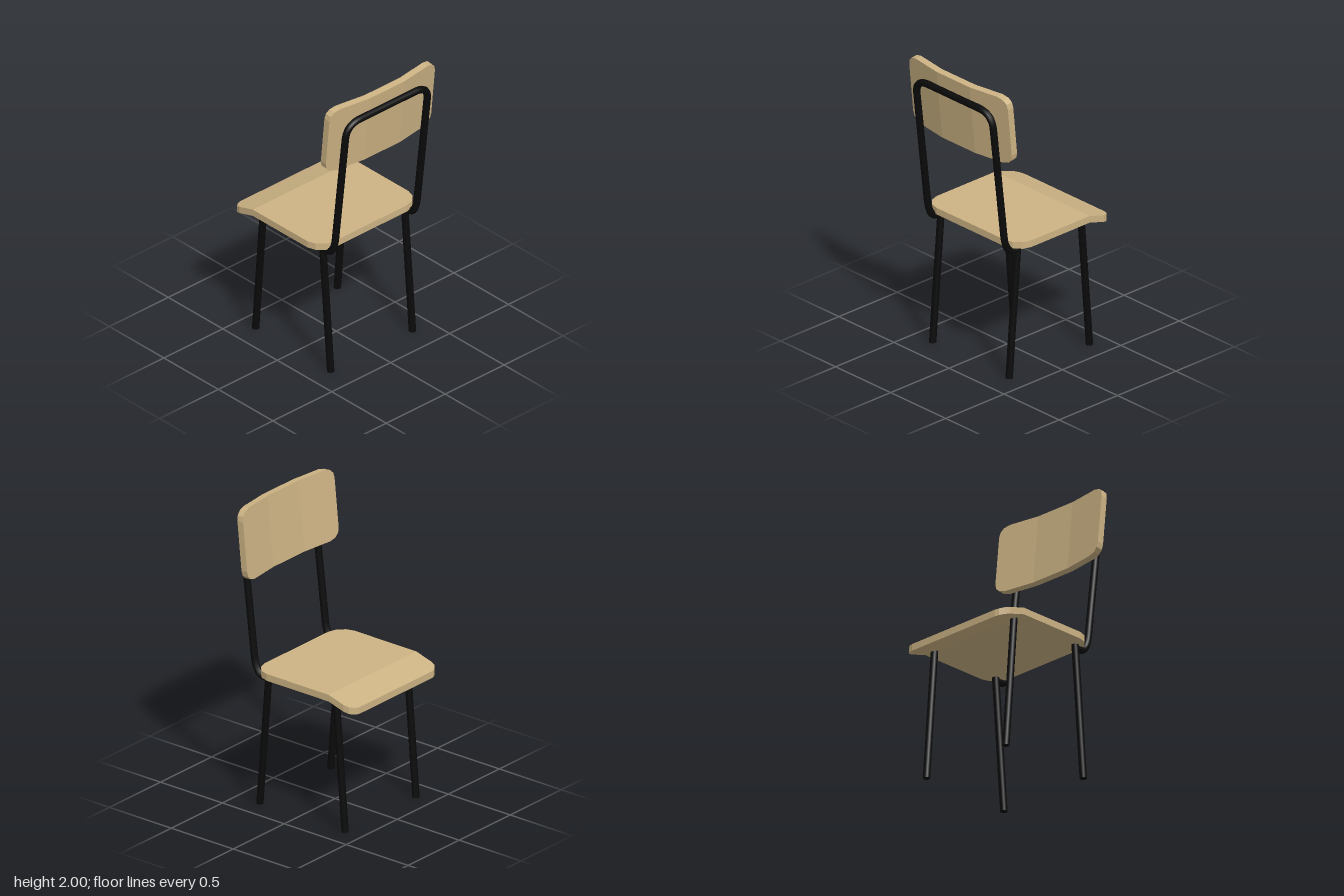
import * as THREE from 'three';

const wood = new THREE.MeshStandardMaterial({ color: 0xcdb384, flatShading: true });
const steel = new THREE.MeshStandardMaterial({ color: 0x0a0a0a });
const R = 0.0235; // tube radius

// Bent board: each station is [along, half width, bend offset]; place maps (along, across, depth) to x, y, z
function board(stations, thickness, place) {
  const rings = stations.map(([a, w, d]) => [
    place(a, -w, d), place(a, w, d), place(a, w, d - thickness), place(a, -w, d - thickness),
  ]);
  const pos = [];
  const quad = (a, b, c, d) => pos.push(...a, ...b, ...c, ...a, ...c, ...d);
  for (let i = 0; i < rings.length - 1; i++) {
    const p = rings[i], q = rings[i + 1];
    for (let k = 0; k < 4; k++) {
      const n = (k + 1) % 4;
      quad(p[k], p[n], q[n], q[k]);
    }
  }
  quad(...[...rings[0]].reverse());
  quad(...rings[rings.length - 1]);
  const geo = new THREE.BufferGeometry();
  geo.setAttribute('position', new THREE.Float32BufferAttribute(pos, 3));
  geo.computeVertexNormals();
  return geo;
}

function add(parent, name, geo, mat) {
  const mesh = new THREE.Mesh(geo, mat);
  mesh.name = name;
  parent.add(mesh);
  return mesh;
}

export function createModel() {
  const group = new THREE.Group();
  group.name = 'chair';

  // Seat with rounded corners and a drooping front edge
  const seat = [
    [-0.49, 0.36, -0.055], [-0.48, 0.39, -0.052], [-0.455, 0.42, -0.045], [-0.42, 0.43, -0.035],
    [-0.3, 0.43, 0], [0.2, 0.43, 0], [0.255, 0.413, 0], [0.3, 0.365, 0], [0.315, 0.31, 0],
  ];
  add(group, 'seat', board(seat, 0.046, (a, b, d) => [a, 0.941 + d, b]), wood);

  // Backrest, curving forward at both ends and leaning back
  const half = [[0.15, 0.237], [0.37, 0.237], [0.415, 0.225], [0.44, 0.2], [0.448, 0.165]]
    .map(([z, h]) => [z, h, -0.04 * (z - 0.15) / 0.3]);
  const back = [...half.map(([z, h, d]) => [-z, h, d]).reverse(), ...half];
  const backrest = add(group, 'backrest', board(back, 0.046, (a, b, d) => [d + 0.023, b, a]), wood);
  backrest.position.set(0.42, 1.761, -0.002);
  backrest.rotation.z = -0.1;

  const frame = new THREE.Group();
  frame.name = 'frame';
  frame.position.z = -0.006;
  group.add(frame);

  // Splayed legs, cut level with the floor
  const Z = 0.347;
  for (const [name, top, foot] of [['frontLeg', -0.298, -0.37], ['rearLeg', 0.245, 0.318]]) {
    for (const s of [1, -1]) {
      const geo = new THREE.CylinderGeometry(R, R, 0.9, 10);
      geo.translate(0, 0.45, 0);
      geo.applyMatrix4(new THREE.Matrix4().makeShear(0, 0, (top - foot) / 0.9, 0, 0, 0));
      geo.translate(foot, 0, s * Z);
      add(frame, name, geo, steel);
    }
  }

  // Back tube: one continuous bent hoop from under the seat
  const v = (x, y, z) => new THREE.Vector3(x, y, z);
  const path = new THREE.CurvePath();
  const line = (a, b) => path.add(new THREE.LineCurve3(a, b));
  const bend = (a, b, c) => path.add(new THREE.QuadraticBezierCurve3(a, b, c));
  const foot = (z) => [v(0.25, 0.873, z), v(0.285, 0.873, z), v(0.348, 0.876, z), v(0.363, 1.0, z), v(0.453, 1.77, z)];
  const [a0, a1, a2, a3, a4] = foot(Z);
  const [b0, b1, b2, b3, b4] = foot(-Z);
  const corner = (z) => v(0.466, 1.88, z);
  line(a0, a1);
  bend(a1, a2, a3);
  line(a3, a4);
  bend(a4, corner(Z), corner(0.23));
  line(corner(0.23), corner(-0.23));
  bend(corner(-0.23), corner(-Z), b4);
  line(b4, b3);
  bend(b3, b2, b1);
  line(b1, b0);
  add(frame, 'backTube', new THREE.TubeGeometry(path, 140, R, 10, false), steel);

  return group;
}
